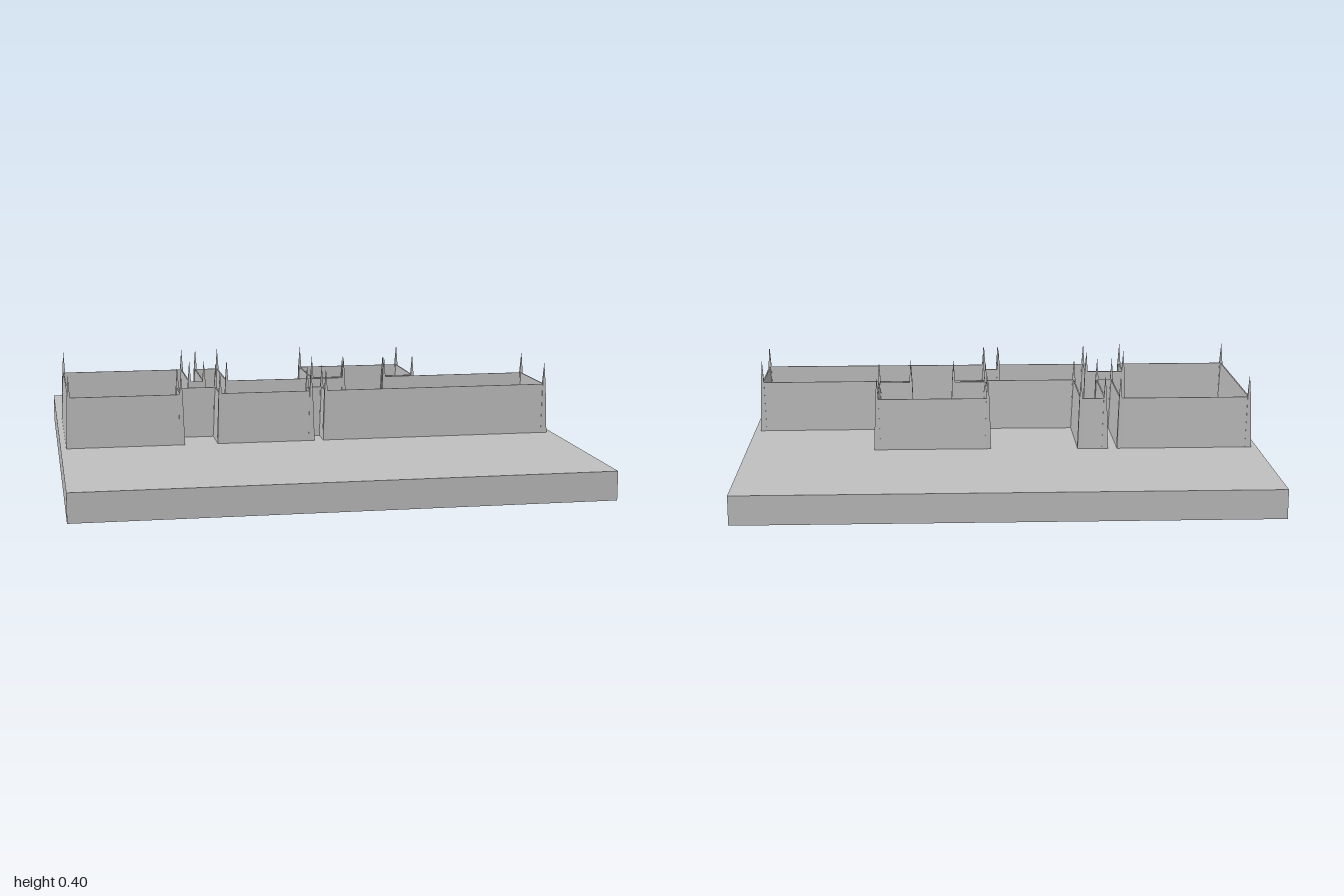
import * as THREE from 'three';

const FLOOR = 0.11, WALL_TOP = 0.31;

// Floor plan outline as [x, z] wall centre lines, clockwise seen from above
const plan = [
  [-0.965, -0.4], [-0.46, -0.4], [-0.46, -0.07], [-0.4, -0.07], [-0.4, -0.4],
  [-0.305, -0.4], [-0.305, -0.07], [0.188, -0.066], [0.188, -0.092], [0.058, -0.092],
  [0.058, -0.387], [0.49, -0.387], [0.49, -0.092], [0.362, -0.092], [0.362, -0.066],
  [0.965, -0.07], [0.965, 0.236], [0.056, 0.236], [0.056, 0.145], [-0.004, 0.145],
  [-0.004, 0.236], [-0.37, 0.236], [-0.37, 0.083], [-0.525, 0.083], [-0.525, 0.236],
  [-0.965, 0.236],
];

// Closed, mitred wall with a tapering cross-section swept round the plan
function wallGeometry() {
  const section = [[0.012, FLOOR], [0.0025, WALL_TOP], [-0.0025, WALL_TOP], [-0.012, FLOOR]];
  const n = plan.length, m = section.length, pos = [], index = [];
  const normal = (a, b) => {
    const dx = b[0] - a[0], dz = b[1] - a[1];
    return Math.abs(dx) > Math.abs(dz) ? [0, -Math.sign(dx)] : [Math.sign(dz), 0];
  };
  plan.forEach((p, i) => {
    const before = normal(plan[(i + n - 1) % n], p);
    const after = normal(p, plan[(i + 1) % n]);
    for (const [offset, y] of section) {
      pos.push(p[0] + offset * (before[0] + after[0]), y, p[1] + offset * (before[1] + after[1]));
    }
    const j = (i + 1) % n;
    for (let k = 0; k < m - 1; k++) {
      const a = i * m + k, b = a + 1, c = j * m + k, d = c + 1;
      index.push(a, b, c, c, b, d);
    }
  });
  const g = new THREE.BufferGeometry();
  g.setAttribute('position', new THREE.Float32BufferAttribute(pos, 3));
  g.setIndex(index);
  const flat = g.toNonIndexed();
  flat.computeVertexNormals();
  return flat;
}

// Square corner post tapering to a needle point
function postGeometry() {
  const profile = [[0.0125, FLOOR], [0.006, WALL_TOP], [0, 0.4]]
    .map(([half, y]) => new THREE.Vector2(half * Math.SQRT2, y));
  const g = new THREE.LatheGeometry(profile, 4, Math.PI / 4).toNonIndexed();
  g.computeVertexNormals();
  return g;
}

export function createModel() {
  const model = new THREE.Group();
  model.name = 'floorPlanModel';
  const grey = new THREE.MeshStandardMaterial({ color: 0xc0c0c0 });
  grey.name = 'lightGrey';

  const add = (name, geometry, x = 0, y = 0, z = 0) => {
    const mesh = new THREE.Mesh(geometry, grey);
    mesh.name = name;
    mesh.position.set(x, y, z);
    model.add(mesh);
  };

  // Square base slab
  add('baseSlab', new THREE.BoxGeometry(2, FLOOR, 2), 0, FLOOR / 2, 0);
  // Walls and a pointed post at every corner
  add('walls', wallGeometry());
  const post = postGeometry();
  for (const [x, z] of plan) add('cornerPost', post, x, 0, z);
  return model;
}
